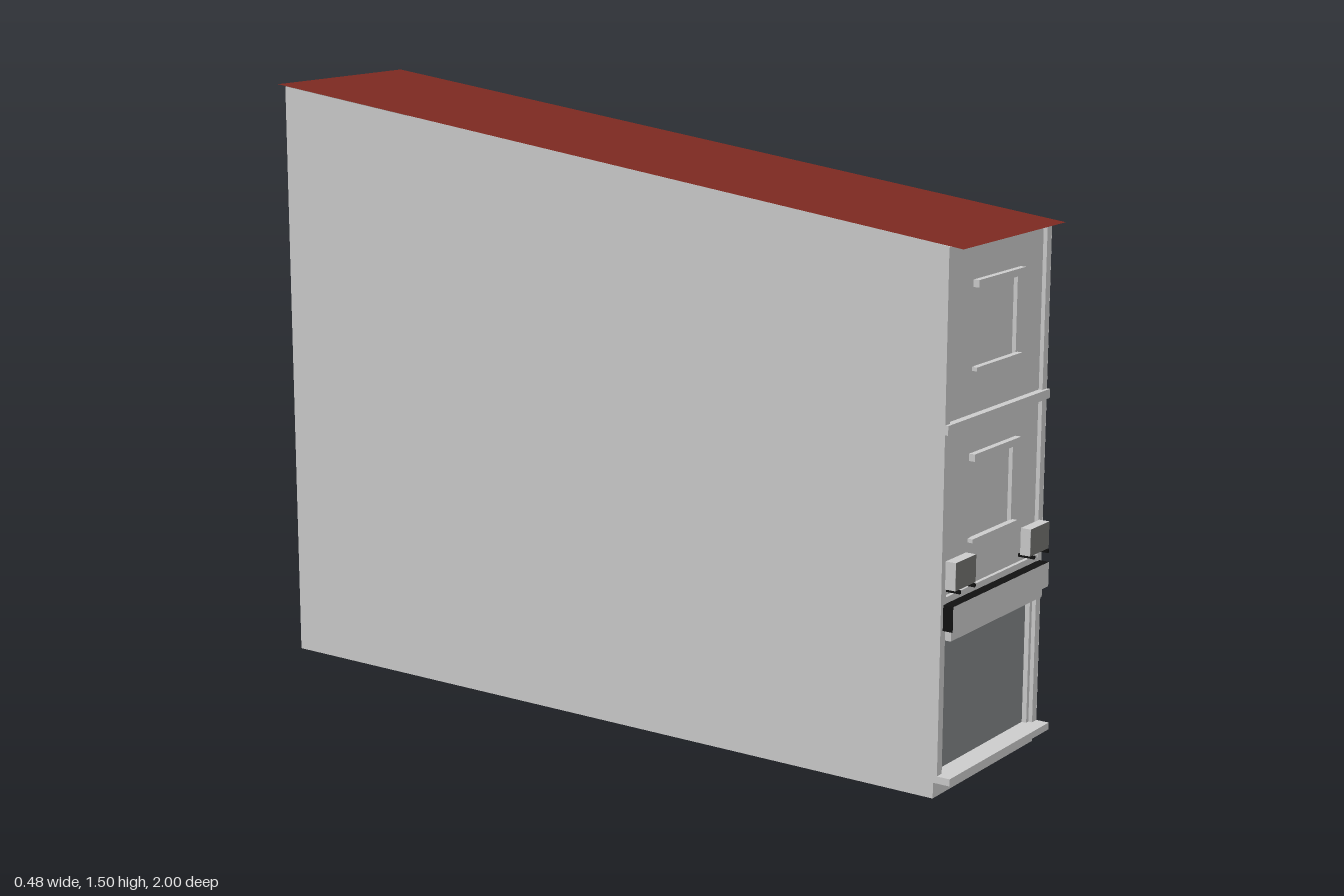
import * as THREE from 'three';

const W = 0.239;                                   // half width of the building
const FRONT = 0.965, WALL = 0.955, BACK = -0.975;  // z planes
const roofY = z => 1.38 - 0.1185 * z;              // sloping roof line

const mat = color => new THREE.MeshStandardMaterial({ color, side: THREE.DoubleSide });
const grey = mat(0xcccccc), red = mat(0x7e2a21), glass = mat(0x838688);
const dark = mat(0x737371), black = mat(0x111111);

export function createModel() {
  const model = new THREE.Group();
  const add = (name, geometry, material = grey) => {
    const mesh = new THREE.Mesh(geometry, material);
    mesh.name = name;
    model.add(mesh);
    return mesh;
  };
  // box given by its limits on each axis
  const box = (name, x0, x1, y0, y1, z0, z1, material) => {
    const mesh = add(name, new THREE.BoxGeometry(x1 - x0, y1 - y0, z1 - z0), material);
    mesh.position.set((x0 + x1) / 2, (y0 + y1) / 2, (z0 + z1) / 2);
    return mesh;
  };
  // upright rectangle facing front
  const panel = (name, halfWidth, y0, y1, z, material) => {
    const mesh = add(name, new THREE.PlaneGeometry(halfWidth * 2, y1 - y0), material);
    mesh.position.set(0, (y0 + y1) / 2, z);
    return mesh;
  };
  const rect = (target, w, y0, y1) => target.moveTo(-w, y0).lineTo(w, y0).lineTo(w, y1).lineTo(-w, y1).closePath();

  // Side walls with a sloping top; the shell is open underneath
  const side = new THREE.Shape();
  side.moveTo(-WALL, 0).lineTo(-BACK, 0).lineTo(-BACK, roofY(BACK)).lineTo(-FRONT, roofY(FRONT));
  side.lineTo(-FRONT, 0.04).lineTo(-WALL, 0.04).closePath();
  for (const s of [-1, 1]) {
    const geometry = new THREE.ShapeGeometry(side).rotateY(Math.PI / 2);
    if (s < 0) {
      // turn the winding so the right wall faces outwards
      geometry.index.array.reverse();
      geometry.computeVertexNormals();
    }
    add(s > 0 ? 'leftWall' : 'rightWall', geometry).position.x = s * W;
  }
  panel('backWall', W, 0, roofY(BACK), BACK).rotation.y = Math.PI;

  // Thin roof sheet overhanging front and back
  const roof = new THREE.PlaneGeometry(W * 2, 2).rotateX(-Math.PI / 2);
  const p = roof.attributes.position;
  for (let i = 0; i < p.count; i++) p.setY(i, roofY(p.getZ(i)) + 0.001);
  roof.computeVertexNormals();
  add('roof', roof, red);

  // Front wall with openings for the shop window and two upper windows
  const windows = [0.576, 0.972];
  const facade = rect(new THREE.Shape(), W - 0.001, 0, roofY(WALL) - 0.002);
  facade.holes.push(rect(new THREE.Path(), 0.206, 0.05, 0.37));
  for (const y of windows) facade.holes.push(rect(new THREE.Path(), 0.098, y, y + 0.19));
  add('frontWall', new THREE.ExtrudeGeometry(facade, { depth: 0.015, bevelEnabled: false })).position.z = WALL - 0.015;

  // Upper windows: pane, lintel and sill
  for (const y of windows) {
    panel('windowPane', 0.1, y - 0.002, y + 0.192, WALL - 0.01);
    box('windowLintel', -0.109, 0.109, y + 0.185, y + 0.202, WALL - 0.002, 0.97);
    box('windowSill', -0.106, 0.106, y - 0.005, y + 0.004, WALL - 0.002, 0.968);
  }

  // Pilasters, floor band and fascia
  for (const s of [-1, 1]) {
    const a = s * 0.217, b = s * (W - 0.0005);
    box('pilaster', Math.min(a, b), Math.max(a, b), 0.04, roofY(FRONT) - 0.002, WALL - 0.002, FRONT);
  }
  box('floorBand', -W, W, 0.846, 0.868, WALL - 0.002, 0.973);
  box('fascia', -0.217, 0.217, 0.385, 0.47, WALL - 0.002, FRONT - 0.001);

  // Shop front: glass, head rail and doorstep
  panel('shopGlass', 0.208, 0.048, 0.372, WALL - 0.012, glass);
  box('shopHeadRail', -0.217, 0.217, 0.37, 0.392, WALL - 0.002, 0.98);
  box('doorstep', -W, W, 0.038, 0.055, WALL - 0.012, 0.998);

  // Blank signboard: black case with a grey face
  box('signCase', -0.228, 0.228, 0.395, 0.455, FRONT - 0.002, 0.99, black);
  panel('signFace', 0.228, 0.395, 0.455, 0.9905);

  // Air conditioners on pairs of slim brackets
  for (const s of [-1, 1]) {
    const x = s * 0.176;
    box('airConditioner', x - 0.046, x + 0.046, 0.49, 0.555, FRONT, 0.991);
    const front = panel('airConditionerFront', 0.046, 0.49, 0.555, 0.9915, dark);
    front.position.x = x;
    for (const d of [-0.034, 0.034])
      box('bracket', x + d - 0.003, x + d + 0.003, 0.482, 0.49, WALL, 0.997, black);
  }
  return model;
}
